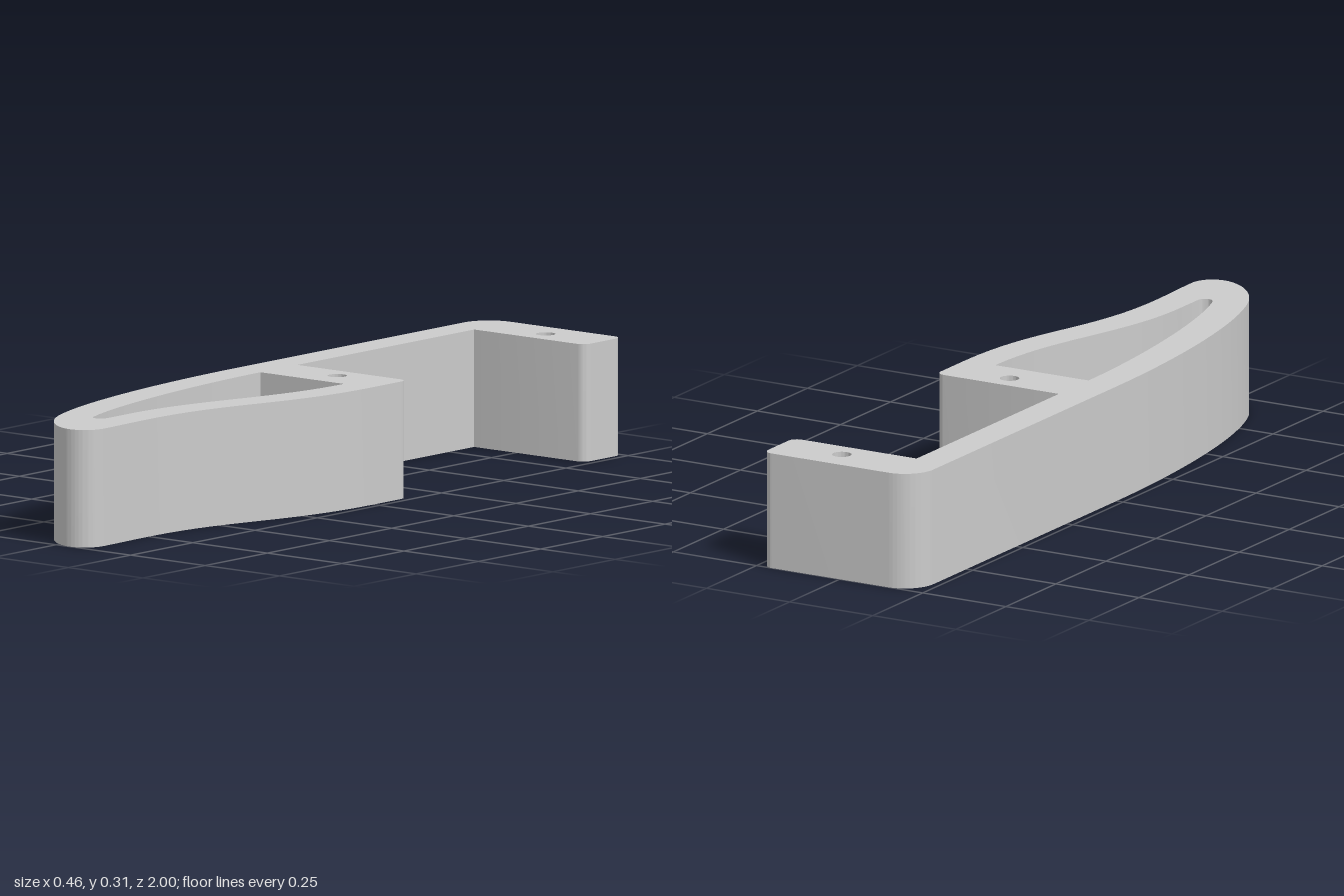
import * as THREE from 'three';
import { toCreasedNormals } from 'three/addons/utils/BufferGeometryUtils.js';

const HEIGHT = 0.307;

export function createModel() {
  const group = new THREE.Group();
  group.name = 'bracket';

  // Plan outline drawn in (x, z); flipped to (x, -z) by the helpers
  const pen = (path) => ({
    move: (x, z) => path.moveTo(x, -z),
    line: (x, z) => path.lineTo(x, -z),
    quad: (a, b, x, z) => path.quadraticCurveTo(a, -b, x, -z),
    cubic: (a, b, c, d, x, z) => path.bezierCurveTo(a, -b, c, -d, x, -z),
    corner: (x, z, r, a0, a1) => path.absarc(x, -z, r, a0, a1, true),
  });

  const shape = new THREE.Shape();
  const o = pen(shape);
  const H = Math.PI / 2;
  o.move(-0.231, 0);
  // Back arm with rounded corners
  o.line(-0.231, -0.915);
  o.corner(-0.146, -0.915, 0.085, Math.PI, H);
  o.corner(0.205, -0.975, 0.025, H, 0);
  o.corner(0.205, -0.873, 0.025, 0, -H);
  o.line(-0.14, -0.848);
  // Inner wall and middle arm
  o.line(-0.14, -0.137);
  o.corner(0.205, -0.112, 0.025, H, 0);
  o.line(0.23, 0);
  // S-curved side, rounded tip and bowed side
  o.cubic(0.23, 0.35, 0.103, 0.42, 0.103, 0.75);
  o.cubic(0.103, 0.82, 0.107, 0.87, 0.107, 0.935);
  o.cubic(0.107, 0.975, 0.08, 1, 0.045, 1);
  o.cubic(0, 1, -0.068, 0.95, -0.11, 0.86);
  o.cubic(-0.19, 0.68, -0.231, 0.32, -0.231, 0);

  // Teardrop opening
  const opening = new THREE.Path();
  const p = pen(opening);
  p.move(0.14, 0.011);
  p.line(-0.14, 0.011);
  p.cubic(-0.14, 0.3, -0.09, 0.65, -0.035, 0.8);
  p.quad(-0.028, 0.826, -0.013, 0.828);
  p.quad(0.008, 0.828, 0.01, 0.805);
  p.line(0.01, 0.72);
  p.cubic(0.01, 0.44, 0.14, 0.3, 0.14, 0.011);
  shape.holes.push(opening);

  // Screw holes through both arms
  for (const z of [-0.914, -0.076]) {
    shape.holes.push(new THREE.Path().absarc(0.045, -z, 0.025, 0, Math.PI * 2, false));
  }

  const geometry = new THREE.ExtrudeGeometry(shape, {
    depth: HEIGHT, bevelEnabled: false, curveSegments: 28,
  });
  geometry.rotateX(-H);

  const body = new THREE.Mesh(
    toCreasedNormals(geometry, 0.45),
    new THREE.MeshStandardMaterial({ color: 0xcccccc }),
  );
  body.name = 'bracketBody';
  group.add(body);
  return group;
}
